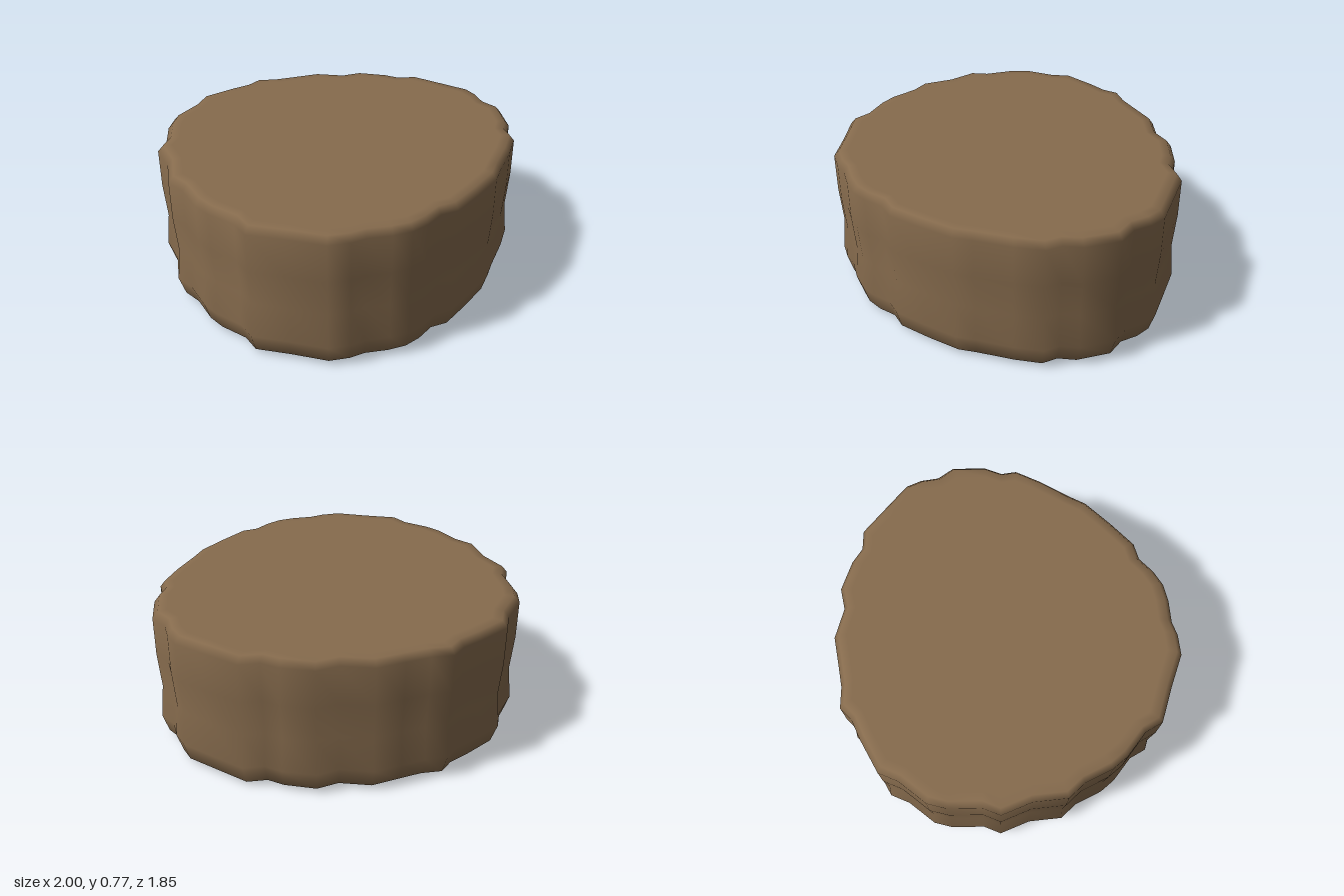
import * as THREE from 'three';

// Irregular outline [x, z], counter-clockwise seen from above
const OUTLINE = [
  [1, 0], [0.96, -0.1], [0.97, -0.2], [0.955, -0.29], [0.86, -0.42], [0.735, -0.59], [0.63, -0.62], [0.565, -0.69],
  [0.42, -0.785], [0.3, -0.79], [0.15, -0.875], [0, -0.885], [-0.13, -0.895], [-0.24, -0.925], [-0.32, -0.88],
  [-0.43, -0.86], [-0.62, -0.81], [-0.69, -0.72], [-0.835, -0.61], [-0.885, -0.52], [-0.93, -0.35], [-0.99, -0.27],
  [-0.97, -0.1], [-1, 0.08], [-0.95, 0.18], [-0.92, 0.34], [-0.88, 0.43], [-0.785, 0.56], [-0.76, 0.66],
  [-0.6, 0.765], [-0.44, 0.88], [-0.33, 0.9], [-0.25, 0.895], [-0.13, 0.92], [-0.03, 0.925], [0.06, 0.9],
  [0.155, 0.85], [0.25, 0.85], [0.41, 0.765], [0.57, 0.67], [0.64, 0.595], [0.78, 0.46], [0.88, 0.345],
  [0.89, 0.26], [0.95, 0.18],
];

// Rings from the underside to the top: [outline scale, height]
const RINGS = [
  [0.88, 0], [0.92, 0], [0.97, 0.03], [1, 0.14], [0.975, 0.33],
  [0.985, 0.53], [0.98, 0.74], [0.95, 0.775], [0.9, 0.775],
];

function stumpGeometry() {
  const n = OUTLINE.length;
  const positions = [];
  const index = [];
  for (const [s, y] of RINGS) {
    for (const [x, z] of OUTLINE) positions.push(x * s, y, z * s);
  }
  const bottom = RINGS.length * n;
  const top = bottom + 1;
  positions.push(0, 0, 0, 0, 0.775, 0);
  const last = (RINGS.length - 1) * n;
  for (let j = 0; j < n; j++) {
    const k = (j + 1) % n;
    // Wall and bevels
    for (let r = 0; r < last; r += n) {
      index.push(r + j, r + k, r + n + j, r + k, r + n + k, r + n + j);
    }
    // Caps
    index.push(bottom, k, j, last + j, last + k, top);
  }
  const geometry = new THREE.BufferGeometry();
  geometry.setAttribute('position', new THREE.Float32BufferAttribute(positions, 3));
  geometry.setIndex(index);
  geometry.computeVertexNormals();
  return geometry;
}

export function createModel() {
  const group = new THREE.Group();
  group.name = 'stump';
  const brown = new THREE.MeshStandardMaterial({ color: 0x866b4d });
  brown.name = 'brown';
  const body = new THREE.Mesh(stumpGeometry(), brown);
  body.name = 'stumpBody';
  group.add(body);
  return group;
}
